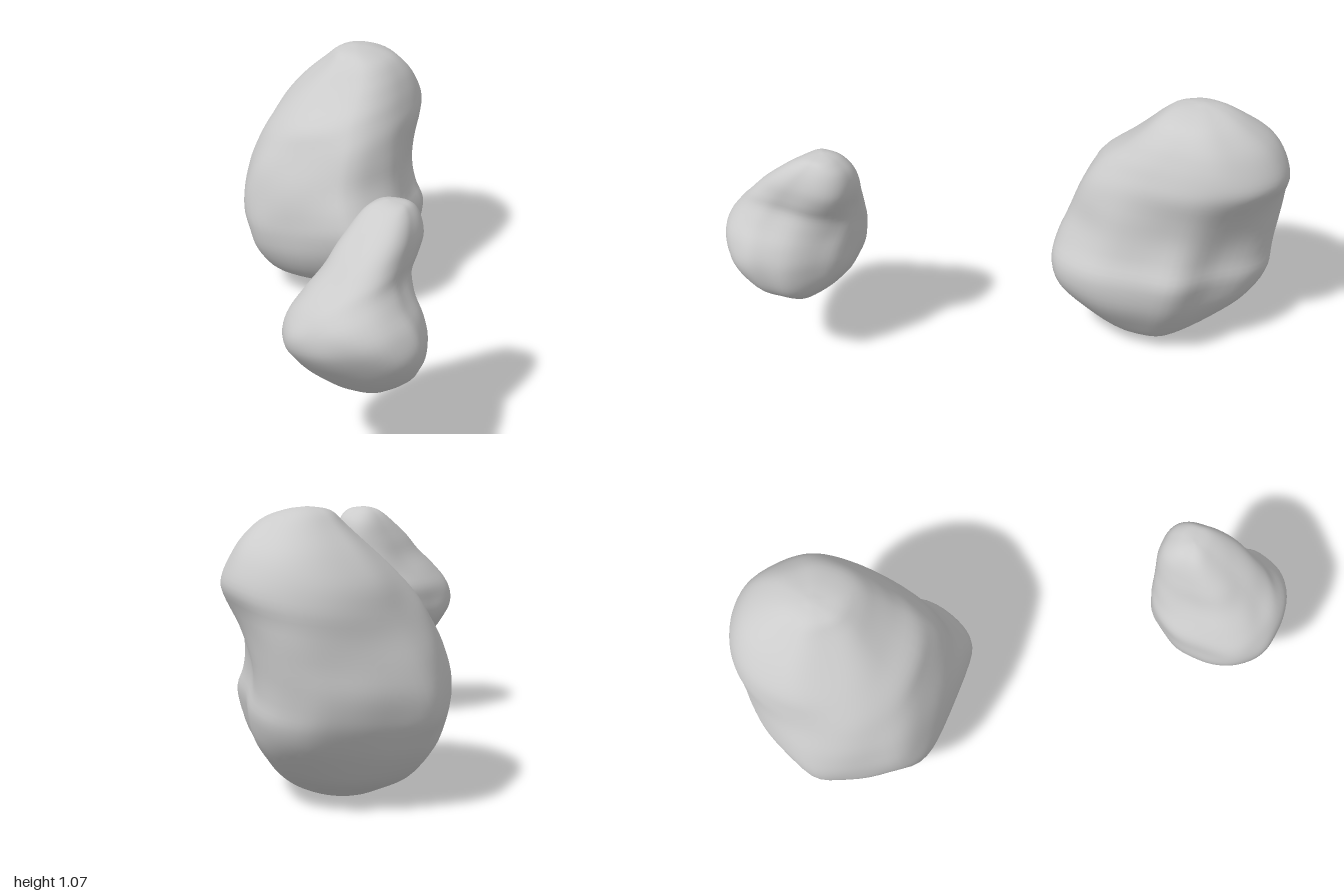
import * as THREE from 'three';
import { mergeVertices } from 'three/addons/utils/BufferGeometryUtils.js';

const RINGS = 56, SIDES = 64, POWER = 2.3;
const { lerp, smoothstep } = THREE.MathUtils;

// Shallow, smooth bumps that keep the surface from looking turned on a lathe
function bumps(x, y, z, f) {
  return Math.sin(f * x + 1.3 * f * y + 0.7) * Math.sin(f * z - 0.8 * f * y + 1.9)
    + 0.5 * Math.sin(1.9 * f * y - 1.5 * f * x + 2.1) * Math.sin(2.1 * f * z + f * x);
}

// Boulder lofted from rows [y, xMin, xMax, zMin, zMax], bottom to top.
// The plan outline is stretched to each row and turns into a full, rounded
// shape towards both ends. Middle rows tilt up towards +x. Above cornerStart,
// the corners where x and z agree (same) or differ (cross) swell or shrink.
function boulder(name, rows, plan, { tilt, freq, same, cross, cornerStart }) {
  const spline = (f) => new THREE.CatmullRomCurve3(rows.map(f), false, 'catmullrom', 0.5);
  const xs = spline((r) => new THREE.Vector3(r[0], r[1], r[2]));
  const zs = spline((r) => new THREE.Vector3(r[0], r[3], r[4]));

  // Normalise the outline to -1..1 in both directions
  const loop = new THREE.CatmullRomCurve3(
    plan.map(([x, z]) => new THREE.Vector3(x, 0, z)), true, 'catmullrom', 0.5);
  const pts = loop.getPoints(SIDES);
  const box = new THREE.Box3().setFromPoints(pts);
  const mid = box.getCenter(new THREE.Vector3()), half = box.getSize(new THREE.Vector3()).multiplyScalar(0.5);
  half.y = 1;
  pts.forEach((p) => p.sub(mid).divide(half));

  const pos = [], idx = [];
  for (let i = 0; i <= RINGS; i++) {
    const t = i / RINGS, a = xs.getPoint(t), b = zs.getPoint(t);
    const cx = (a.y + a.z) / 2, hx = (a.z - a.y) / 2, cz = (b.y + b.z) / 2, hz = (b.z - b.y) / 2;
    const round = 0.85 * smoothstep(Math.abs(2 * t - 0.72), 0.08, 0.65);
    const corner = smoothstep(t, cornerStart, cornerStart + 0.25);
    const lift = tilt * Math.sin(Math.PI * t) ** 2;
    for (let j = 0; j <= SIDES; j++) {
      const p = pts[j % SIDES];
      const len = (Math.abs(p.x) ** POWER + Math.abs(p.z) ** POWER) ** (1 / POWER);
      const diagonal = 2 * p.x * p.z / (p.x * p.x + p.z * p.z);
      const swell = 1 + corner * (diagonal > 0 ? same : cross) * diagonal * diagonal;
      const k = lerp(1, 1 / len, round) * swell;
      const x = p.x * k * hx, z = p.z * k * hz, y = a.x + lift * p.x;
      const n = 1 + 0.016 * bumps(cx + x, y, cz + z, freq);
      pos.push(cx + x * n, y, cz + z * n);
      if (i < RINGS && j < SIDES) {
        const q = i * (SIDES + 1) + j, u = q + SIDES + 1;
        idx.push(q, u, q + 1, q + 1, u, u + 1);
      }
    }
  }
  let geo = new THREE.BufferGeometry();
  geo.setAttribute('position', new THREE.Float32BufferAttribute(pos, 3));
  geo.setIndex(idx);
  geo = mergeVertices(geo, 1e-5);
  geo.computeVertexNormals();
  const mesh = new THREE.Mesh(geo, new THREE.MeshStandardMaterial({ color: 0xcccccc }));
  mesh.name = name;
  return mesh;
}

export function createModel() {
  const group = new THREE.Group();
  group.name = 'floatingRocks';

  // Large boulder: broad base, top leaning backwards
  group.add(boulder('largeRock', [
    [0.0, -0.33, -0.33, -0.54, -0.54],
    [0.015, -0.44, -0.175, -0.62, -0.44],
    [0.05, -0.51, -0.075, -0.69, -0.34],
    [0.12, -0.62, 0.0, -0.79, -0.21],
    [0.23, -0.71, 0.08, -0.89, -0.135],
    [0.33, -0.755, 0.095, -0.94, -0.11],
    [0.41, -0.78, 0.05, -0.945, -0.115],
    [0.5, -0.78, 0.017, -0.95, -0.135],
    [0.6, -0.745, 0.005, -0.96, -0.165],
    [0.7, -0.7, -0.003, -0.98, -0.205],
    [0.78, -0.665, -0.025, -1.0, -0.25],
    [0.86, -0.625, -0.05, -0.975, -0.34],
    [0.94, -0.55, -0.085, -0.92, -0.42],
    [1.01, -0.45, -0.14, -0.83, -0.49],
    [1.05, -0.385, -0.225, -0.74, -0.55],
    [1.065, -0.31, -0.31, -0.65, -0.65],
  ], [
    [-0.78, -0.55], [-0.72, -0.72], [-0.64, -0.85], [-0.55, -0.95], [-0.42, -1.0], [-0.28, -0.96],
    [-0.14, -0.84], [0, -0.75], [0.05, -0.62], [0.09, -0.43], [0.06, -0.28], [0, -0.18],
    [-0.1, -0.14], [-0.38, -0.12], [-0.55, -0.16], [-0.65, -0.28], [-0.74, -0.42],
  ], { tilt: 0.08, freq: 8, same: 0.04, cross: -0.1, cornerStart: 0.6 }));

  // Small boulder: pear shape with a narrow head set to the back
  group.add(boulder('smallRock', [
    [0.292, 0.54, 0.54, 0.71, 0.71],
    [0.3, 0.46, 0.605, 0.66, 0.765],
    [0.325, 0.425, 0.66, 0.61, 0.81],
    [0.37, 0.365, 0.735, 0.56, 0.86],
    [0.43, 0.315, 0.77, 0.515, 0.92],
    [0.49, 0.288, 0.78, 0.49, 0.965],
    [0.55, 0.273, 0.755, 0.475, 0.995],
    [0.61, 0.275, 0.705, 0.465, 0.993],
    [0.67, 0.285, 0.668, 0.46, 0.95],
    [0.73, 0.325, 0.665, 0.455, 0.89],
    [0.8, 0.372, 0.66, 0.445, 0.82],
    [0.86, 0.4, 0.647, 0.445, 0.755],
    [0.91, 0.428, 0.628, 0.46, 0.69],
    [0.945, 0.46, 0.605, 0.495, 0.635],
    [0.96, 0.495, 0.57, 0.53, 0.6],
    [0.966, 0.53, 0.53, 0.565, 0.565],
  ], [
    [0.27, 0.73], [0.28, 0.62], [0.34, 0.52], [0.4, 0.46], [0.48, 0.44], [0.57, 0.47],
    [0.64, 0.54], [0.73, 0.62], [0.77, 0.72], [0.78, 0.8], [0.74, 0.9], [0.65, 0.97],
    [0.53, 1.0], [0.42, 0.97], [0.34, 0.9], [0.29, 0.82],
  ], { tilt: 0.07, freq: 14, same: 0.03, cross: 0.1, cornerStart: -0.25 }));

  return group;
}
